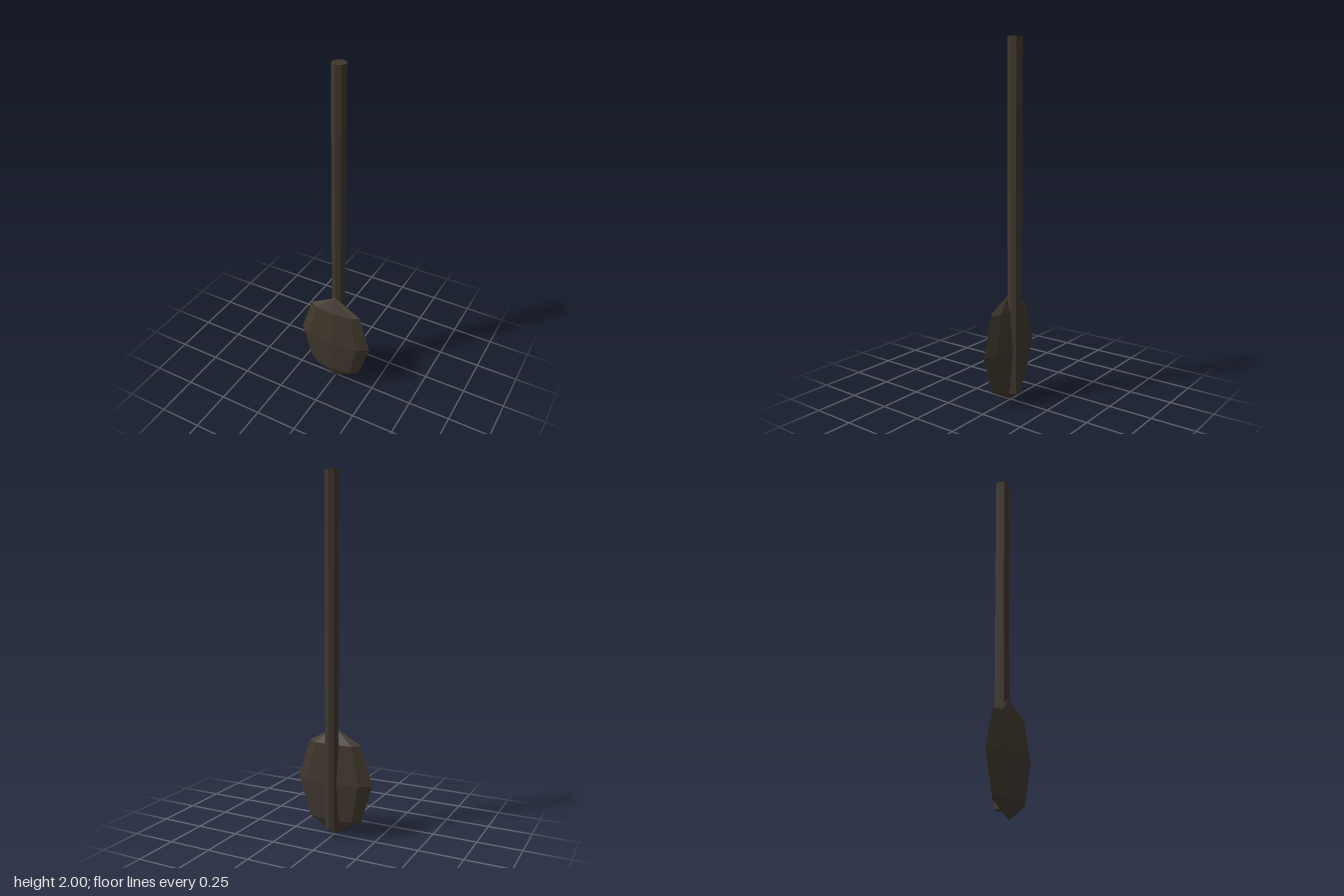
import * as THREE from 'three';

export function createModel() {
  const group = new THREE.Group();
  group.name = 'paddle';

  const darkWood = new THREE.MeshStandardMaterial({ color: 0x40372d, flatShading: true });
  darkWood.name = 'darkWood';

  // Blade: a faceted, flattened ellipsoid
  const bladeGeometry = new THREE.SphereGeometry(1, 8, 4);
  bladeGeometry.scale(0.227, 0.308, 0.057);
  const blade = new THREE.Mesh(bladeGeometry, darkWood);
  blade.name = 'blade';
  blade.position.set(0, 0.31, 0.01);
  group.add(blade);

  // Shaft: an eight-sided pole running down the back of the blade
  const bottom = 0.055, top = 2;
  const shaft = new THREE.Mesh(new THREE.CylinderGeometry(0.04, 0.04, top - bottom, 8), darkWood);
  shaft.name = 'shaft';
  shaft.position.set(0, (top + bottom) / 2, -0.03);
  group.add(shaft);

  return group;
}
